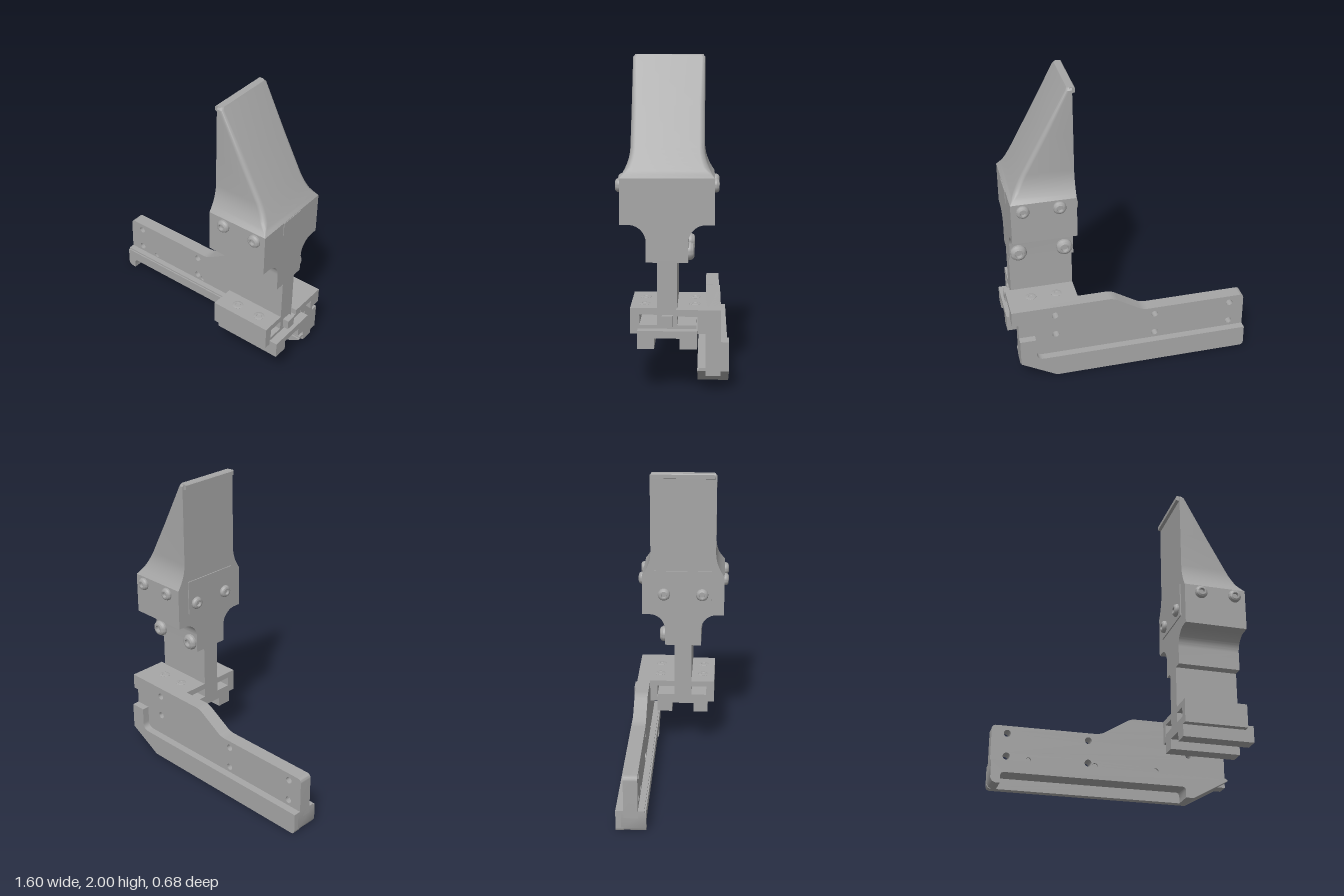
import * as THREE from 'three';
import { toCreasedNormals } from 'three/addons/utils/BufferGeometryUtils.js';

export function createModel() {
  const root = new THREE.Group();
  root.name = 'gripperFinger';
  const grey = new THREE.MeshStandardMaterial({ color: 0xa6a6a6 });
  grey.name = 'machinedGrey';

  const add = (name, geo) => {
    const m = new THREE.Mesh(geo, grey);
    m.name = name;
    root.add(m);
    return m;
  };
  // Box from its limits
  const box = (name, x0, x1, y0, y1, z0, z1) => {
    const g = new THREE.BoxGeometry(x1 - x0, y1 - y0, z1 - z0);
    g.translate((x0 + x1) / 2, (y0 + y1) / 2, (z0 + z1) / 2);
    return add(name, g);
  };
  const crease = (g) => toCreasedNormals(g, 0.5);
  const poly = (pts) => new THREE.Shape(pts.map(([x, y]) => new THREE.Vector2(x, y)));
  // Side outline in x,y pushed from z0 to z1
  const alongZ = (name, shape, z0, z1) => {
    const g = new THREE.ExtrudeGeometry(shape, { depth: z1 - z0, bevelEnabled: false, curveSegments: 10 });
    g.translate(0, 0, z0);
    return add(name, crease(g));
  };
  // End outline drawn with (-z, y), pushed from x0 to x1
  const alongX = (name, shape, x0, x1) => {
    const g = new THREE.ExtrudeGeometry(shape, { depth: x1 - x0, bevelEnabled: false, curveSegments: 12 });
    g.rotateY(Math.PI / 2);
    g.translate(x0, 0, 0);
    return add(name, crease(g));
  };
  const hole = (x, y, r) => new THREE.Path().absarc(x, y, r, 0, Math.PI * 2, true);

  // ---- Rail plate with bolt holes; the front skin also has small notches
  const plateShape = (notches) => {
    const s = new THREE.Shape();
    s.moveTo(-0.8, 0.1);
    s.lineTo(0.745, 0.1);
    s.lineTo(0.745, 0.41);
    s.lineTo(0.785, 0.41);
    s.lineTo(0.785, 0.515);
    s.lineTo(0.14, 0.515);
    s.quadraticCurveTo(0.11, 0.515, 0.08, 0.497);
    s.lineTo(-0.07, 0.405);
    s.quadraticCurveTo(-0.1, 0.39, -0.13, 0.39);
    s.lineTo(-0.77, 0.39);
    s.quadraticCurveTo(-0.8, 0.39, -0.8, 0.36);
    s.lineTo(-0.8, 0.1);
    for (const [x, y] of [[-0.7, 0.19], [-0.7, 0.34], [-0.175, 0.19], [-0.175, 0.34], [0.5, 0.3], [0.5, 0.45]])
      s.holes.push(hole(x, y, 0.023));
    if (notches) for (const x of [-0.56, -0.13, 0.275]) s.holes.push(hole(x, 0.175, 0.018));
    return s;
  };
  alongZ('railPlate', plateShape(false), -0.285, -0.207);
  alongZ('railPlateSkin', plateShape(true), -0.207, -0.195);

  // ---- Foot flange: pocketed front, solid back wall with an end pillar
  alongZ('footFlange', poly([[-0.8, 0.03], [-0.79, 0.01], [-0.77, 0], [-0.74, 0], [-0.74, 0.05], [-0.734, 0.064],
    [-0.72, 0.07], [0.44, 0.07], [0.454, 0.064], [0.46, 0.05], [0.46, 0], [0.51, 0], [0.745, 0.13],
    [0.745, 0.14], [-0.8, 0.14]]), -0.3, -0.145);
  box('flangeTop', -0.8, 0.745, 0.139, 0.15, -0.3, -0.155);
  const wall = new THREE.Shape();
  wall.moveTo(-0.8, 0.03);
  wall.quadraticCurveTo(-0.8, 0, -0.77, 0);
  wall.lineTo(0.51, 0);
  wall.lineTo(0.745, 0.13);
  wall.lineTo(0.745, 0.31);
  wall.lineTo(0.64, 0.31);
  wall.lineTo(0.64, 0.2);
  wall.quadraticCurveTo(0.64, 0.15, 0.59, 0.15);
  wall.lineTo(-0.8, 0.15);
  alongZ('flangeBackWall', wall, -0.335, -0.285);

  // ---- Bracket top, front clamp and sliding carriage
  box('bracketTop', 0.33, 0.785, 0.475, 0.515, -0.285, -0.02);
  box('bracketRib', 0.33, 0.745, 0.36, 0.48, -0.197, -0.145);
  box('clampBlock', 0.33, 0.745, 0.475, 0.515, 0.09, 0.255);
  box('clampFace', 0.33, 0.745, 0.36, 0.476, 0.2, 0.255);
  alongX('carriage', poly([[-0.21, 0.28], [-0.11, 0.28], [-0.11, 0.345], [0.04, 0.345], [0.04, 0.28],
    [0.145, 0.28], [0.145, 0.39], [-0.21, 0.39]]), 0.33, 0.8);
  box('carriageCap', 0.33, 0.745, 0.389, 0.412, -0.14, 0.215);
  box('stemKey', 0.7, 0.785, 0.41, 0.475, 0, 0.065);

  // ---- Stem and fingertip holder
  box('stem', 0.33, 0.745, 0.405, 0.8, -0.025, 0.095);
  const holder = new THREE.Shape();
  holder.moveTo(-0.16, 0.79);
  holder.lineTo(0.09, 0.79);
  holder.lineTo(0.09, 0.91);
  holder.absarc(0.195, 0.91, 0.105, Math.PI, Math.PI / 2, true);
  holder.lineTo(0.245, 1.015);
  holder.lineTo(0.245, 1.29);
  holder.lineTo(-0.315, 1.29);
  holder.lineTo(-0.315, 1.015);
  holder.lineTo(-0.265, 1.015);
  holder.absarc(-0.265, 0.91, 0.105, Math.PI / 2, 0, true);
  holder.lineTo(-0.16, 0.79);
  alongX('holderBlock', holder, 0.33, 0.745);

  // ---- Wedge fingertip lofted from cross-sections that flare at the base
  const levels = [1.29, 1.31, 1.33, 1.35, 1.375, 1.4, 1.43, 1.46, 1.7, 1.985, 2.0];
  const rings = levels.map((y) => {
    const t = Math.min(1, (y - 1.29) / 0.17);
    const w = 0.22 + 0.06 * (1 - t) ** 2 - (y > 1.99 ? 0.013 : 0);
    const x1 = 0.745 - 0.385 * (y - 1.29) / 0.71;
    const r = Math.min(0.03 * Math.min(1, t * 3) + 0.001, (x1 - 0.33) * 0.5);
    const ring = [[0.33, -w]];
    for (let i = 0; i <= 5; i++) {
      const a = -Math.PI / 2 + i * Math.PI / 10;
      ring.push([x1 - r + r * Math.cos(a), -w + r + r * Math.sin(a)]);
    }
    const mirrored = ring.map(([x, z]) => [x, -z]).reverse();
    return [...ring, ...mirrored].map(([x, z]) => [x, y, z + 0.035]);
  });
  const tri = [];
  const n = rings[0].length;
  for (let k = 0; k < rings.length - 1; k++)
    for (let i = 0; i < n; i++) {
      const j = (i + 1) % n;
      const [a, b, c, d] = [rings[k][i], rings[k][j], rings[k + 1][j], rings[k + 1][i]];
      tri.push(a, c, b, a, d, c);
    }
  const top = rings[rings.length - 1];
  for (let i = 1; i < n - 1; i++) tri.push(top[0], top[i + 1], top[i]);
  const wedge = new THREE.BufferGeometry();
  wedge.setAttribute('position', new THREE.Float32BufferAttribute(tri.flat(), 3));
  add('wedgeFingertip', crease(wedge));
  alongZ('tipLip', poly([[0.31, 1.968], [0.33, 1.962], [0.345, 1.968], [0.345, 2], [0.316, 2], [0.31, 1.994]]), -0.175, 0.245);

  // ---- Backing plate on the inner face and a tab on the outer face
  box('innerPlate', 0.323, 0.335, 1.1, 1.33, -0.16, 0.23);
  box('outerTab', 0.74, 0.749, 1.2, 1.287, -0.05, 0.125);

  // ---- Button-head screws with a hexagonal socket
  const profile = (r, h) => [[0, h * 0.35], [r * 0.4, h * 0.35], [r * 0.45, h], [r * 0.62, h], [r * 0.85, h * 0.8],
    [r, h * 0.4], [r, 0]].reverse().map(([x, y]) => new THREE.Vector2(x, y));
  const screw = (name, pos, dir, r = 0.042, h = 0.028) => {
    const m = add(name, crease(new THREE.LatheGeometry(profile(r, h), 18)));
    m.position.set(...pos);
    m.quaternion.setFromUnitVectors(new THREE.Vector3(0, 1, 0), new THREE.Vector3(...dir));
  };
  for (const x of [0.44, 0.67]) {
    screw('holderScrewFront', [x, 1.24, 0.315], [0, 0, 1]);
    screw('holderScrewBack', [x, 1.24, -0.245], [0, 0, -1]);
  }
  for (const x of [0.39, 0.69]) screw('lowerScrew', [x, 0.85, -0.09], [0, 0, -1], 0.054, 0.036);
  for (const z of [-0.095, 0.165]) screw('innerPlateScrew', [0.323, 1.165, z], [-1, 0, 0], 0.042, 0.026);
  for (const x of [0.46, 0.63]) {
    screw('bracketScrew', [x, 0.514, -0.13], [0, 1, 0], 0.036, 0.005);
    screw('clampScrew', [x, 0.514, 0.175], [0, 1, 0], 0.036, 0.005);
  }
  return root;
}
